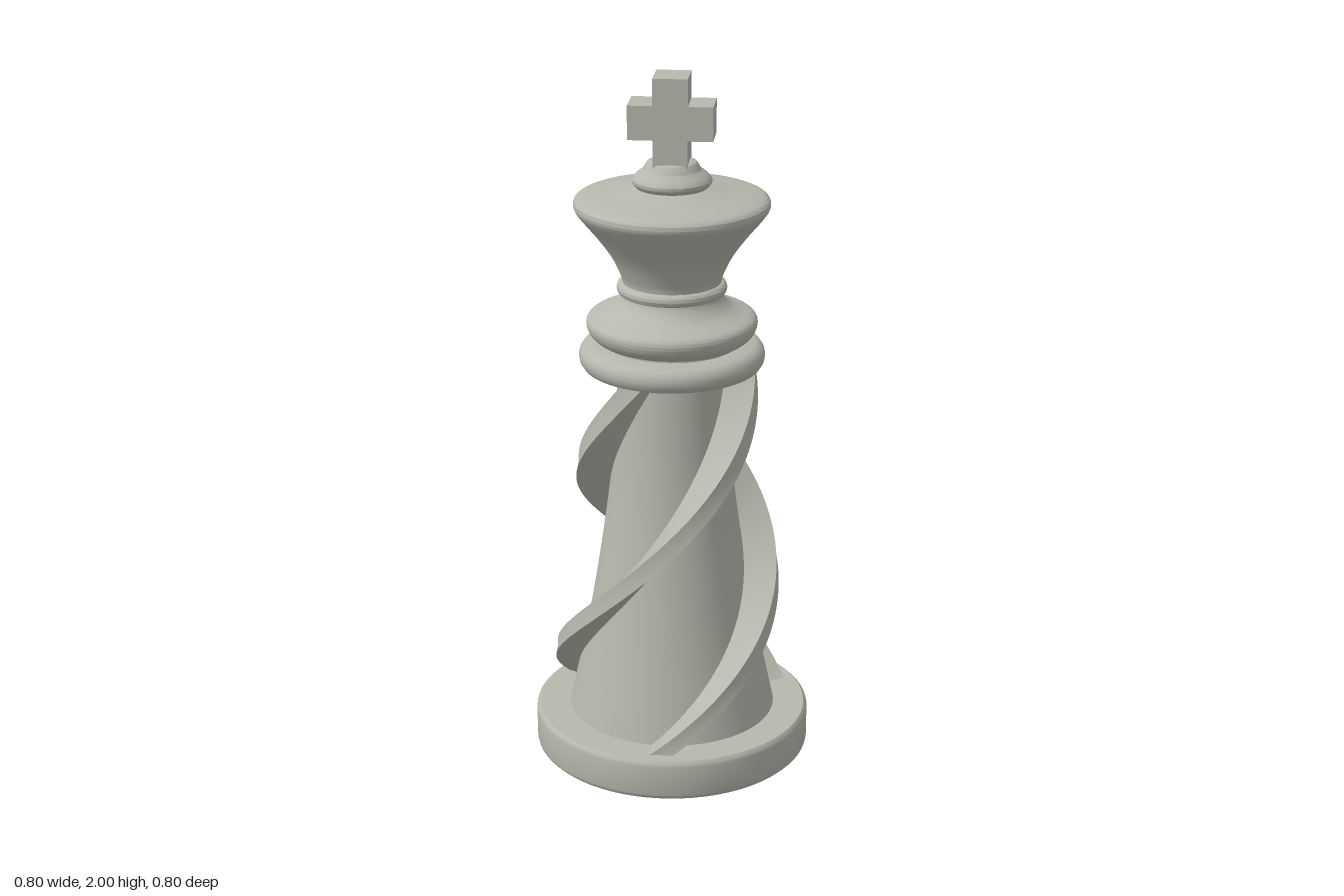
import * as THREE from 'three';
import { toCreasedNormals } from 'three/addons/utils/BufferGeometryUtils.js';

const stone = new THREE.MeshStandardMaterial({ color: 0xb8b7ad });
stone.name = 'warm grey stone';

function addPart(group, name, geometry, crease = 0.6) {
  const mesh = new THREE.Mesh(toCreasedNormals(geometry, crease), stone);
  mesh.name = name;
  group.add(mesh);
  return mesh;
}

// Turned part from [radius, height] pairs, bottom to top
const turned = (points) =>
  new THREE.LatheGeometry(points.map(([r, y]) => new THREE.Vector2(r, y)), 72);

// Same, with the profile rounded through the given points
const turnedSmooth = (points, steps = 40) => {
  const curve = new THREE.SplineCurve(points.map(([r, y]) => new THREE.Vector2(r, y)));
  const pts = curve.getPoints(steps);
  pts.forEach((p) => { p.x = Math.max(p.x, 0); });
  return new THREE.LatheGeometry(pts, 72);
};

// Spiral fin: a tall box whose layers taper and turn about the axis
function finGeometry(startAngle) {
  const y0 = 0.1, y1 = 1.19, turn = THREE.MathUtils.degToRad(205);
  const geometry = new THREE.BoxGeometry(1, y1 - y0, 0.066, 1, 72, 1);
  geometry.translate(0, (y0 + y1) / 2, 0);
  const pos = geometry.attributes.position;
  for (let i = 0; i < pos.count; i++) {
    const y = pos.getY(i), side = pos.getZ(i);
    const outer = 0.357 - 0.118 * (y - 0.12);
    const inner = 0.26 - 0.14 * (y - 0.12);
    const r = pos.getX(i) > 0 ? outer : Math.min(inner, outer - 0.12);
    const a = startAngle - turn * (y - 0.12);
    pos.setXYZ(i, r * Math.cos(a) - side * Math.sin(a), y, r * Math.sin(a) + side * Math.cos(a));
  }
  geometry.computeVertexNormals();
  return geometry;
}

export function createModel() {
  const model = new THREE.Group();
  model.name = 'spiralKingPiece';

  // Foot
  addPart(model, 'base', turned([
    [0, 0], [0.39, 0], [0.398, 0.008], [0.4, 0.016], [0.4, 0.104], [0.398, 0.112], [0.39, 0.12], [0, 0.12],
  ]));

  // Tapered core
  addPart(model, 'core', turnedSmooth([
    [0.302, 0.11], [0.245, 0.38], [0.2, 0.65], [0.169, 0.9], [0.15, 1.19],
  ]));

  // Three fins winding up the core
  for (let i = 0; i < 3; i++) {
    addPart(model, 'spiralFin', finGeometry(THREE.MathUtils.degToRad(103 + 120 * i)));
  }

  // Collar rings
  addPart(model, 'lowerCollar', turned([
    [0, 1.17], [0.235, 1.17], [0.25, 1.176], [0.259, 1.19], [0.262, 1.205],
    [0.259, 1.22], [0.25, 1.233], [0.235, 1.24], [0.19, 1.242], [0.19, 1.26],
  ]), 0.9);
  addPart(model, 'upperCollar', turnedSmooth([
    [0.18, 1.245], [0.205, 1.252], [0.23, 1.272], [0.24, 1.3], [0.23, 1.32],
    [0.195, 1.334], [0.165, 1.35], [0.145, 1.372], [0.138, 1.39],
  ]), 0.9);
  addPart(model, 'neckRing', turnedSmooth([
    [0.13, 1.382], [0.148, 1.388], [0.154, 1.402], [0.148, 1.416], [0.13, 1.422],
  ], 20), 0.9);

  // Flared crown
  addPart(model, 'crown', turnedSmooth([
    [0.137, 1.41], [0.143, 1.44], [0.172, 1.5], [0.215, 1.56], [0.26, 1.615], [0.272, 1.638],
    [0.266, 1.656], [0.235, 1.666], [0.16, 1.678], [0.08, 1.694],
  ], 60), 0.9);

  // Finial under the cross
  addPart(model, 'finial', turnedSmooth([
    [0.08, 1.682], [0.1, 1.69], [0.111, 1.708], [0.1, 1.724], [0.082, 1.738],
    [0.073, 1.752], [0.06, 1.762], [0, 1.765],
  ]), 0.9);

  // Cross, turned slightly about the upright axis
  const w = 0.048, a = 0.117, low = 1.83, high = 1.925;
  const outline = [
    [-w, 1.74], [w, 1.74], [w, low], [a, low], [a, high], [w, high],
    [w, 2], [-w, 2], [-w, high], [-a, high], [-a, low], [-w, low],
  ];
  const shape = new THREE.Shape(outline.map(([x, y]) => new THREE.Vector2(x, y)));
  const crossGeometry = new THREE.ExtrudeGeometry(shape, { depth: 0.112, bevelEnabled: false });
  crossGeometry.translate(0, 0, -0.056);
  addPart(model, 'cross', crossGeometry).rotation.y = -0.24;

  return model;
}
